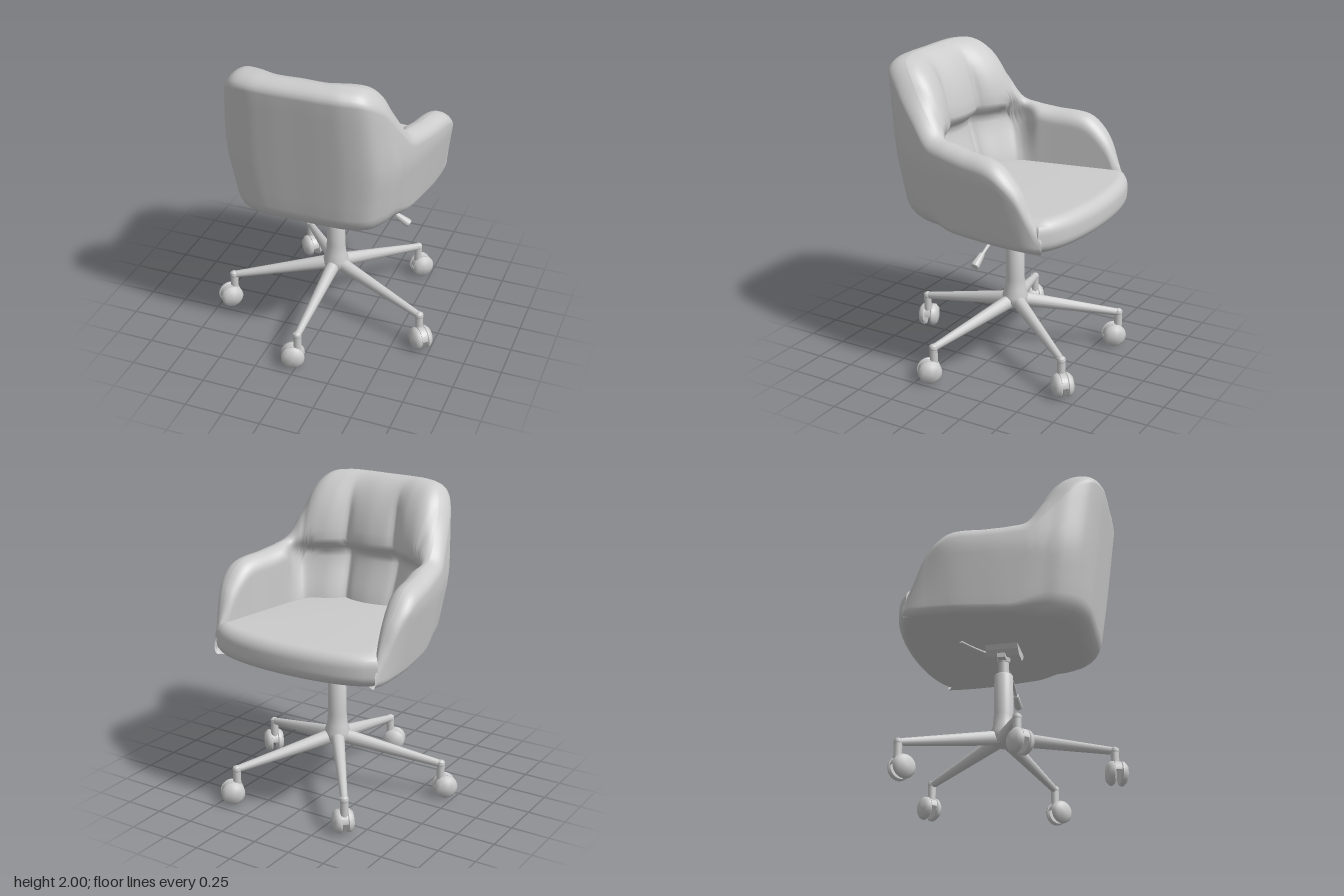
import * as THREE from 'three';
import { toCreasedNormals } from 'three/addons/utils/BufferGeometryUtils.js';

const mat = new THREE.MeshStandardMaterial({ color: 0xcccccc, side: THREE.DoubleSide });
const COLUMN_Z = -0.06;
const LEG_REACH = 0.695;

function add(parent, name, geo, x = 0, y = 0, z = 0) {
  const m = new THREE.Mesh(geo, mat);
  m.name = name;
  m.position.set(x, y, z);
  parent.add(m);
  return m;
}

const smooth = (v, a, b) => THREE.MathUtils.smoothstep(v, a, b);
const lathe = (pts, n = 24) =>
  toCreasedNormals(new THREE.LatheGeometry(pts.map(p => new THREE.Vector2(...p)), n), 0.7);
const curve = pts => new THREE.CatmullRomCurve3(pts.map(p => new THREE.Vector3(...p)));

// Wall stations from back centre to arm front: outer x, outer z, inner x, inner z, top height
const STATIONS = [
  [0, 0.605, 0, 0.28, 2.0], [0.18, 0.605, 0.17, 0.285, 2.0], [0.32, 0.595, 0.29, 0.23, 2.0],
  [0.45, 0.55, 0.37, 0.2, 1.98], [0.53, 0.45, 0.41, 0.18, 1.9], [0.57, 0.33, 0.43, 0.15, 1.73],
  [0.6, 0.22, 0.44, 0.11, 1.59], [0.625, 0.1, 0.45, 0.05, 1.56], [0.655, -0.05, 0.47, -0.05, 1.54],
  [0.69, -0.28, 0.51, -0.28, 1.51], [0.675, -0.42, 0.535, -0.42, 1.38],
  [0.645, -0.5, 0.55, -0.5, 1.22], [0.6, -0.575, 0.585, -0.57, 1.06],
];

// One wall section: under the seat, up the outside, over the rim, down the inside
function section(o, inn) {
  const y0 = 0.975, top = o.y, H = top - y0;
  const B = smooth(o.z, 0.05, 0.4);
  const dir = new THREE.Vector2(inn.x - o.x, inn.z - o.z);
  const T = dir.length();
  dir.divideScalar(T);
  const rb = Math.min(0.05 + 0.08 * B, H * 0.4);
  const ro = Math.min(0.08, H * 0.5), ri = Math.min(0.09 + 0.32 * B, H * 0.5);
  const ridge = T * (0.5 - 0.15 * B);
  const lean = y => B * 0.13 * (y - 1.5);
  const pts = [[0, y0, o.z * 0.3]];
  // The outside draws in towards the bottom, the back also towards the top
  const put = (d, y) => {
    const outside = 1 - smooth(d, ridge, T) * (1 - B);
    const squeeze = 1 - 0.11 * outside * Math.max(0, (1.4 - y) / 0.4) * Math.min(1, (top - 1) / 0.5)
      - B * 0.07 * Math.max(0, y - 1.5) / 0.5;
    pts.push([(o.x + dir.x * d) * squeeze, y, o.z + dir.y * d + lean(y)]);
  };
  const arc = (n, f) => { for (let i = 0; i <= n; i++) f(i / n * Math.PI / 2); };
  arc(6, a => put(rb * (1 - Math.sin(a)), y0 + rb * (1 - Math.cos(a))));
  for (let i = 1; i < 8; i++) put(0, THREE.MathUtils.lerp(y0 + rb, top - ro, i / 8));
  arc(6, a => put(ridge * (1 - Math.cos(a)), top - ro * (1 - Math.sin(a))));
  // Inside face with vertical seams and a recessed lower back
  const inside = (d, y) => {
    const seam = 0.045 * B * Math.exp(-Math.abs(Math.abs(inn.x) - 0.18) / 0.03) * smooth(top - y, 0.02, 0.3);
    const waist = B * (0.09 * (1 - smooth(y, 1.48, 1.58)) - 0.05 * (1 - smooth(y, 1.15, 1.5)));
    put(d - seam - waist, y);
  };
  arc(10, a => inside(ridge + (T - ridge) * Math.sin(a), top - ri * (1 - Math.cos(a))));
  const low = Math.min(1.05, top - ri - 0.01);
  for (let i = 1; i <= 16; i++) inside(T, THREE.MathUtils.lerp(top - ri, low, i / 16));
  return pts;
}

function shellGeometry() {
  const all = [
    ...STATIONS.slice(1).reverse().map(s => [-s[0], s[1], -s[2], s[3], s[4]]),
    ...STATIONS,
  ];
  const outer = curve(all.map(s => [s[0], s[4], s[1]]));
  const inner = curve(all.map(s => [s[2], s[4], s[3]]));
  const N = 192, pos = [], idx = [];
  let M = 0;
  for (let i = 0; i <= N; i++) {
    const pts = section(outer.getPoint(i / N), inner.getPoint(i / N));
    M = pts.length;
    pts.forEach(p => pos.push(...p));
  }
  for (let i = 0; i < N; i++) {
    for (let j = 0; j < M - 1; j++) {
      const a = i * M + j, b = a + M;
      idx.push(a, b, a + 1, b, b + 1, a + 1);
    }
  }
  const g = new THREE.BufferGeometry();
  g.setAttribute('position', new THREE.Float32BufferAttribute(pos, 3));
  g.setIndex(idx);
  g.computeVertexNormals();
  return g;
}

// Seat cushion with a bowed, well rounded front edge
function cushionGeometry() {
  const s = new THREE.Shape();
  s.moveTo(-0.27, 0.32);
  s.lineTo(0.27, 0.32);
  s.lineTo(0.4, 0.12);
  s.lineTo(0.515, -0.52);
  s.bezierCurveTo(0.35, -0.655, -0.35, -0.655, -0.515, -0.52);
  s.lineTo(-0.4, 0.12);
  s.closePath();
  const g = new THREE.ExtrudeGeometry(s, {
    depth: 0.05, bevelThickness: 0.08, bevelSize: 0.075, bevelSegments: 8, curveSegments: 24,
  });
  g.rotateX(Math.PI / 2);
  return toCreasedNormals(g, 0.9);
}

// Twin-wheel caster: wheel axis along local x, trailing towards local z
function caster() {
  const c = new THREE.Group();
  c.name = 'caster';
  add(c, 'casterStem', new THREE.CylinderGeometry(0.026, 0.026, 0.13, 16), 0, 0.185, 0);
  for (const side of [-1, 1]) {
    const w = add(c, 'casterWheel',
      lathe([[0, 0], [0.066, 0], [0.076, 0.01], [0.074, 0.026], [0.055, 0.045], [0, 0.054]]),
      side * 0.016, 0.08, 0.03);
    w.rotation.z = -side * Math.PI / 2;
  }
  // Hood over the gap between the wheels
  const hood = add(c, 'casterHood',
    new THREE.CylinderGeometry(0.07, 0.07, 0.04, 20, 1, false, 0, Math.PI), 0, 0.085, 0.03);
  hood.rotation.z = Math.PI / 2;
  return c;
}

function leg() {
  const g = new THREE.Group();
  g.name = 'leg';
  const a = new THREE.Vector3(0.02, 0.37, 0), b = new THREE.Vector3(LEG_REACH, 0.235, 0);
  const geo = new THREE.CylinderGeometry(0.024, 0.05, a.distanceTo(b), 12);
  geo.scale(1, 1, 0.9);
  const beam = add(g, 'legBeam', geo);
  beam.position.copy(a).lerp(b, 0.5);
  beam.rotation.z = Math.atan2(b.y - a.y, b.x - a.x) - Math.PI / 2;
  add(g, 'legTip', new THREE.SphereGeometry(0.028, 16, 10), LEG_REACH, 0.235, 0);
  return g;
}

export function createModel() {
  const chair = new THREE.Group();
  chair.name = 'officeChair';

  add(chair, 'backAndArmShell', shellGeometry());
  add(chair, 'seatCushion', cushionGeometry(), 0, 1.105, 0);

  // Star base, each caster swivelled its own way
  const base = new THREE.Group();
  base.name = 'base';
  base.position.z = COLUMN_Z;
  chair.add(base);
  add(base, 'column', lathe([[0, 0.32], [0.06, 0.32], [0.085, 0.36], [0.085, 0.4], [0.068, 0.45],
    [0.062, 0.52], [0.06, 0.79], [0.055, 0.8], [0, 0.8]], 28));
  add(base, 'gasLift', new THREE.CylinderGeometry(0.034, 0.034, 0.16, 20), 0, 0.86, 0);
  [-70, 45, 135, 45, -45].forEach((swivel, i) => {
    const angle = -Math.PI / 2 + i * Math.PI * 2 / 5;
    const l = leg();
    l.rotation.y = angle;
    const c = caster();
    c.position.set(Math.cos(angle) * LEG_REACH, 0, -Math.sin(angle) * LEG_REACH);
    c.rotation.y = THREE.MathUtils.degToRad(swivel);
    base.add(l, c);
  });

  // Tilt mechanism under the seat
  const plate = new THREE.Shape([[-0.11, 0.98], [-0.09, 0.945], [-0.05, 0.915], [0.05, 0.915],
    [0.09, 0.945], [0.11, 0.98]].map(p => new THREE.Vector2(...p)));
  add(base, 'tiltMechanism', new THREE.ExtrudeGeometry(plate,
    { depth: 0.21, bevelEnabled: false }), 0, 0, -0.1);
  add(base, 'mechanismCollar', new THREE.CylinderGeometry(0.045, 0.04, 0.04, 20), 0, 0.905, 0);
  add(base, 'pivotPin', new THREE.BoxGeometry(0.06, 0.03, 0.05), -0.06, 0.905, 0);
  add(base, 'tiltRod', new THREE.TubeGeometry(
    curve([[0, 0.95, -0.08], [-0.08, 0.962, -0.16], [-0.2, 0.968, -0.24]]), 16, 0.008, 8));

  // Height lever
  add(base, 'lever', new THREE.TubeGeometry(
    curve([[0.03, 0.895, 0], [0.2, 0.885, 0], [0.32, 0.87, 0], [0.42, 0.825, 0]]), 24, 0.011, 8));
  const handle = add(base, 'leverHandle',
    lathe([[0, -0.06], [0.024, -0.055], [0.028, -0.04], [0.018, 0.05], [0, 0.06]], 14), 0.46, 0.805, 0);
  handle.rotation.z = 1.05;
  return chair;
}
